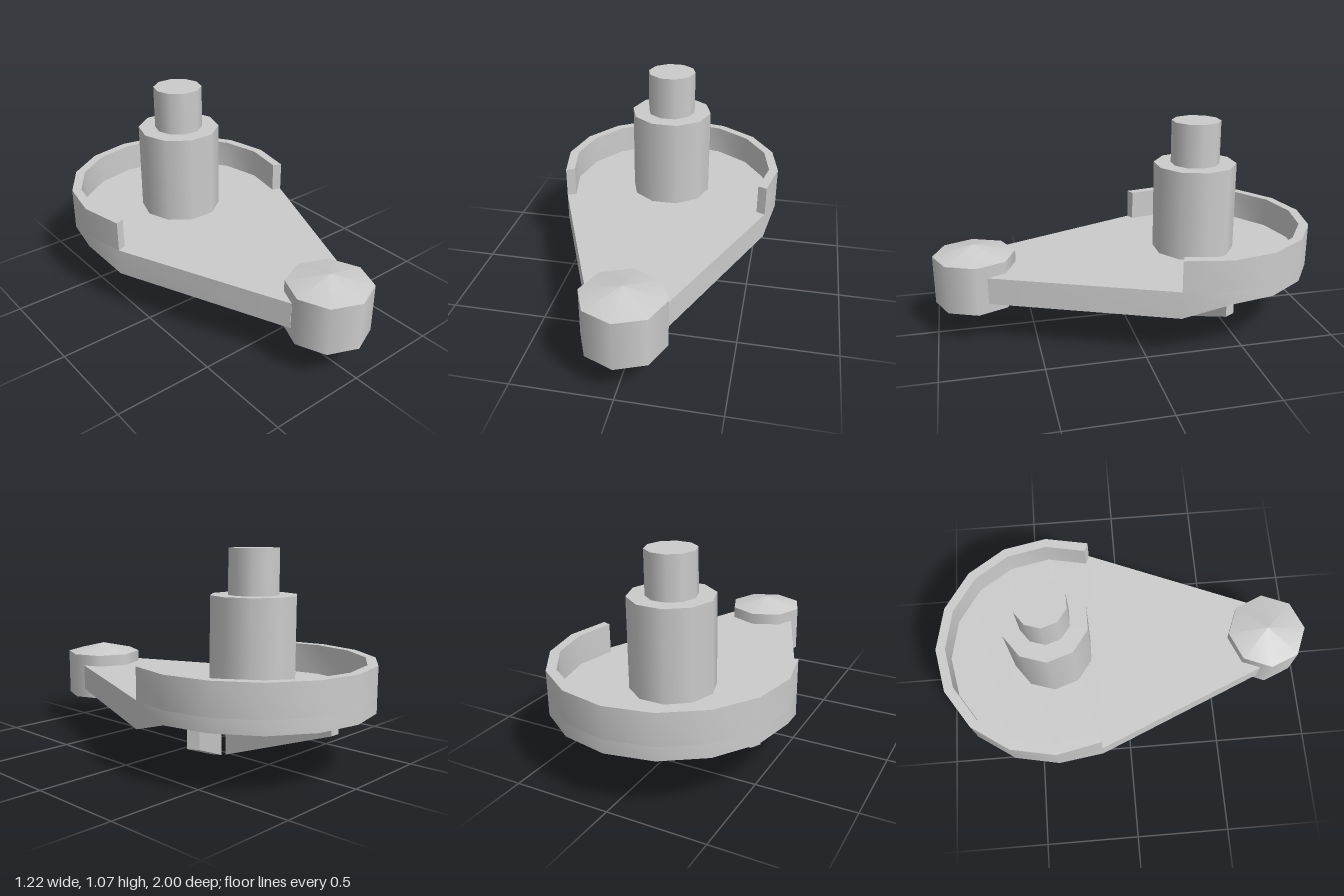
import * as THREE from 'three';
import { toCreasedNormals } from 'three/addons/utils/BufferGeometryUtils.js';

const HUB_Z = -0.39; // centre of the round end
const RIM_R = 0.61;

export function createModel() {
  const model = new THREE.Group();
  const grey = new THREE.MeshStandardMaterial({ color: 0xcccccc });
  const greyOpen = new THREE.MeshStandardMaterial({ color: 0xcccccc, side: THREE.DoubleSide });

  function add(name, geometry, material = grey) {
    const mesh = new THREE.Mesh(geometry, material);
    mesh.name = name;
    model.add(mesh);
    return mesh;
  }

  // Base plate: cross-sections [z, half width, underside height] from front to back
  const top = 0.365;
  const sections = [[0.735, 0.19, 0.225]];
  for (let k = -1; k <= 4; k++) {
    const a = (k * Math.PI) / 8;
    sections.push([
      HUB_Z - RIM_R * Math.sin(a),
      Math.max(RIM_R * Math.cos(a), 0.001),
      k < 0 ? 0.225 : 0.297,
    ]);
  }
  const loops = sections.map(([z, w, low]) => [[-w, top, z], [w, top, z], [w, low, z], [-w, low, z]]);
  const positions = [];
  const quad = (a, b, c, d) => positions.push(...a, ...b, ...c, ...a, ...c, ...d);
  for (let s = 0; s < loops.length - 1; s++) {
    for (let i = 0; i < 4; i++) {
      const j = (i + 1) % 4;
      quad(loops[s][i], loops[s][j], loops[s + 1][j], loops[s + 1][i]);
    }
  }
  quad(...[...loops[0]].reverse());
  quad(...loops[loops.length - 1]);
  const plate = new THREE.BufferGeometry();
  plate.setAttribute('position', new THREE.Float32BufferAttribute(positions, 3));
  add('basePlate', toCreasedNormals(plate, 0.45));

  // Raised rim around the round end, open to the front
  const outer = [];
  const inner = [];
  for (let k = -1; k <= 9; k++) {
    const a = (k * Math.PI) / 8;
    const at = (r) => new THREE.Vector2(r * Math.cos(a), -HUB_Z + r * Math.sin(a));
    outer.push(at(RIM_R));
    inner.unshift(at(0.56));
  }
  const rim = new THREE.ExtrudeGeometry(new THREE.Shape([...outer, ...inner]), {
    depth: 0.525 - top,
    bevelEnabled: false,
  });
  rim.rotateX(-Math.PI / 2).translate(0, top, 0);
  add('rim', toCreasedNormals(rim, 0.45));

  // Stepped post, ten-sided
  function post(name, radius, y0, y1) {
    const g = new THREE.CylinderGeometry(radius, radius, y1 - y0, 10);
    g.rotateY(Math.PI / 2).translate(-0.002, (y0 + y1) / 2, HUB_Z);
    add(name, g);
  }
  post('post', 0.219, 0.34, 0.838);
  post('postPin', 0.129, 0.83, 1.065);

  // Hollow eight-sided knob at the narrow end, open underneath
  const knobWall = new THREE.CylinderGeometry(0.21, 0.21, 0.253, 8, 1, true);
  add('knobWall', knobWall, greyOpen).position.set(0, 0.3015, 0.789);
  const knobCap = new THREE.ConeGeometry(0.21, 0.05, 8, 1, true);
  add('knobCap', knobCap, greyOpen).position.set(0, 0.453, 0.789);

  // Three tapered ribs fanning out under the plate
  function rib(name, angle, length) {
    const start = 0.072;
    const end = 0.003 + (length - start) * 0.347;
    const profile = new THREE.Shape([
      new THREE.Vector2(start, 0),
      new THREE.Vector2(length, end),
      new THREE.Vector2(length, 0.32),
      new THREE.Vector2(start, 0.32),
    ]);
    const g = new THREE.ExtrudeGeometry(profile, { depth: 0.058, bevelEnabled: false });
    g.translate(0, 0, -0.029).rotateY(angle).translate(0, 0, -0.167);
    add(name, g);
  }
  rib('leftRib', Math.PI / 6, 0.543);
  rib('backRib', Math.PI / 2, 0.713);
  rib('rightRib', (5 * Math.PI) / 6, 0.543);

  return model;
}
